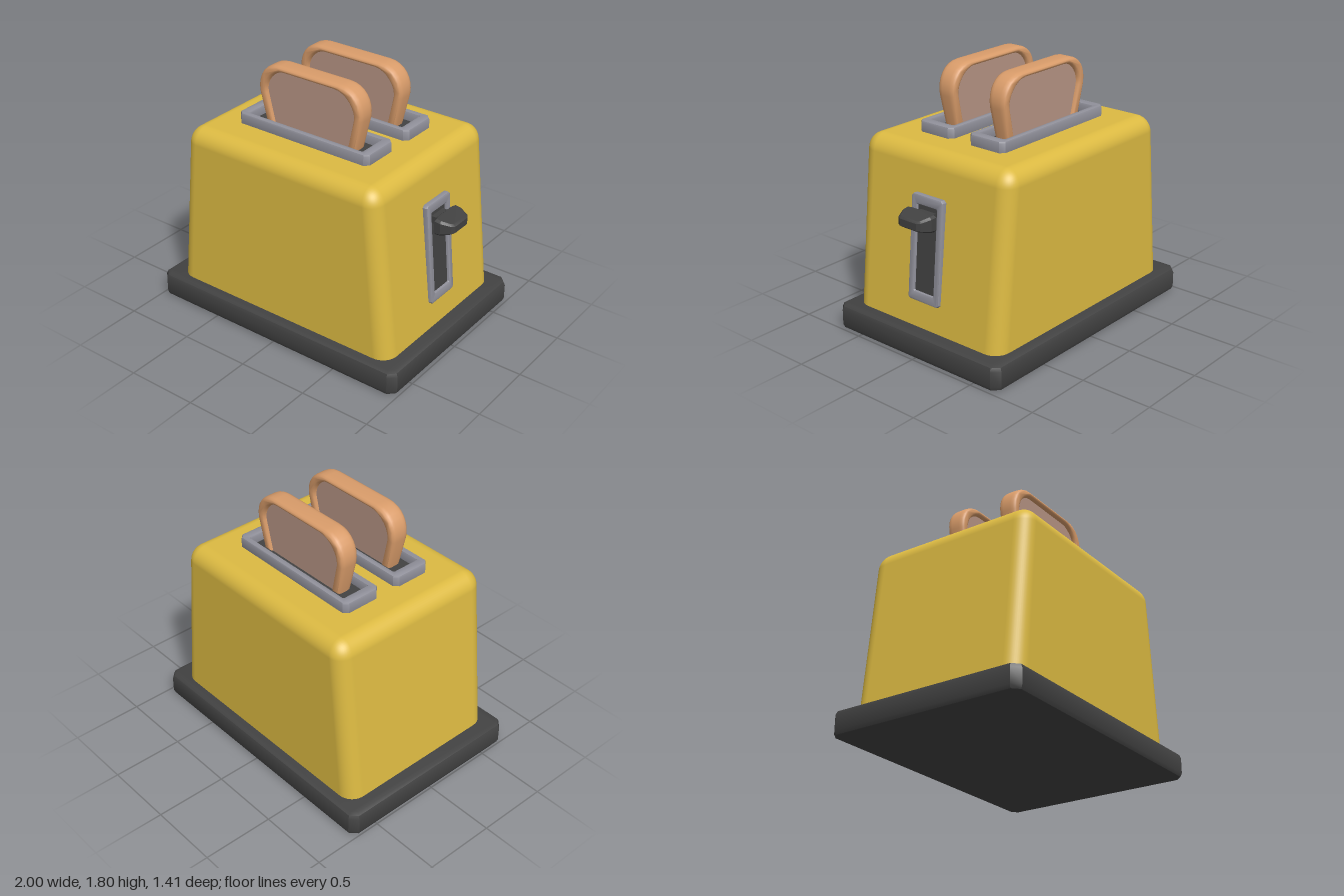
import * as THREE from 'three';
import { toCreasedNormals } from 'three/addons/utils/BufferGeometryUtils.js';
import { RoundedBoxGeometry } from 'three/addons/geometries/RoundedBoxGeometry.js';

const SLOPE = 0.107; // inward lean of the two end walls

const paint = (name, color) => {
  const m = new THREE.MeshStandardMaterial({ color });
  m.name = name;
  return m;
};

function add(parent, name, geometry, material) {
  const mesh = new THREE.Mesh(geometry, material);
  mesh.name = name;
  parent.add(mesh);
  return mesh;
}

// Rectangle outline with cut corners
function rectPoints(w, h, c) {
  const x = w / 2, y = h / 2;
  return [[x - c, -y], [x, -y + c], [x, y - c], [x - c, y], [-x + c, y], [-x, y - c], [-x, -y + c], [-x + c, -y]]
    .map(([a, b]) => new THREE.Vector2(a, b));
}

// Bevelled slab whose outer size matches the shape, centred on z
function slab(shape, depth, bevel, bevelThickness = bevel, bevelSegments = 2) {
  const g = new THREE.ExtrudeGeometry(shape, {
    depth: depth - 2 * bevelThickness, bevelSize: bevel, bevelThickness,
    bevelOffset: -bevel, bevelSegments, curveSegments: 8,
  });
  return g.translate(0, 0, bevelThickness - depth / 2);
}

// Slab with a rectangular opening
function frame(w, h, c, holeW, holeH, depth, bevel) {
  const shape = new THREE.Shape(rectPoints(w, h, c));
  shape.holes.push(new THREE.Path(rectPoints(holeW, holeH, 0.005).reverse()));
  return toCreasedNormals(slab(shape, depth, bevel), 0.6);
}

// Right half to left half outline of a slice, inset at the sides and top
function sliceOutline(side, top) {
  const p = new THREE.Path();
  p.moveTo(0.36 - side, 1.37);
  p.lineTo(0.41 - side, 1.59);
  p.bezierCurveTo(0.425 - side, 1.7 - top, 0.36 - side, 1.8 - top, 0.235 - side * 0.5, 1.8 - top);
  p.lineTo(-0.235 + side * 0.5, 1.8 - top);
  p.bezierCurveTo(-0.36 + side, 1.8 - top, -0.425 + side, 1.7 - top, -0.41 + side, 1.59);
  p.lineTo(-0.36 + side, 1.37);
  return p.getPoints(8);
}

// Slices get a little thicker towards the top
function thickenUpward(g) {
  const p = g.attributes.position;
  for (let i = 0; i < p.count; i++) p.setZ(i, p.getZ(i) * (0.8 + 0.2 * (p.getY(i) - 1.37) / 0.43));
  return g;
}

function bodyGeometry() {
  const half = 0.885, bottom = 0.05, top = 1.355;
  const g = new RoundedBoxGeometry(half * 2, top - bottom, 1.255, 5, 0.11);
  g.translate(0, (top + bottom) / 2, 0);
  const p = g.attributes.position, n = g.attributes.normal, v = new THREE.Vector3();
  for (let i = 0; i < p.count; i++) {
    const s = p.getX(i) / half;
    p.setX(i, s * (half - SLOPE * (p.getY(i) - 0.175)));
    v.fromBufferAttribute(n, i);
    v.y += SLOPE * s * v.x;
    v.normalize();
    n.setXYZ(i, v.x, v.y, v.z);
  }
  return g;
}

function knobGeometry() {
  const outline = [[0.86, -0.085], [0.875, -0.125], [0.92, -0.125], [0.985, -0.095], [1, -0.07]];
  const pts = [...outline, ...outline.map(([x, z]) => [x, -z]).reverse()].map(([x, z]) => new THREE.Vector2(x, z));
  const g = slab(new THREE.Shape(pts), 0.115, 0.015, 0.015, 1).rotateX(Math.PI / 2);
  const p = g.attributes.position;
  for (let i = 0; i < p.count; i++) {
    const t = THREE.MathUtils.clamp((p.getX(i) - 0.9) / 0.1, 0, 1);
    p.setY(i, p.getY(i) * (1 - 0.45 * t) + 0.942);
  }
  return toCreasedNormals(g, 0.3);
}

export function createModel() {
  const yellow = paint('yellow enamel', 0xdcba42);
  const dark = paint('dark plastic', 0x424242);
  const grey = paint('grey metal', 0x90909a);
  const crustBrown = paint('crust brown', 0xd99c6a);
  const crumb = paint('toasted crumb', 0xb69484);

  const model = new THREE.Group();
  model.name = 'toaster';

  // Base and body
  const base = slab(new THREE.Shape(rectPoints(1.99, 1.415, 0.05)), 0.175, 0.035).rotateX(-Math.PI / 2);
  add(model, 'base', toCreasedNormals(base, 0.6), dark).position.set(-0.005, 0.0875, 0);
  add(model, 'body', bodyGeometry(), yellow);

  // Slots with their collars and slices
  const collarGeo = frame(1.05, 0.29, 0.03, 0.91, 0.2, 0.1, 0.015).rotateX(-Math.PI / 2);
  const floorGeo = new THREE.BoxGeometry(0.96, 0.008, 0.24);
  const crustShape = new THREE.Shape([...sliceOutline(0, 0), ...sliceOutline(0.066, 0.042).reverse()]);
  const crustGeo = toCreasedNormals(thickenUpward(slab(crustShape, 0.145, 0.02, 0.04, 3)), 0.7);
  const crumbShape = new THREE.Shape(sliceOutline(0.05, 0.03));
  const crumbGeo = thickenUpward(new THREE.ExtrudeGeometry(crumbShape, { depth: 0.09, bevelEnabled: false })
    .translate(0, 0, -0.045));
  for (const [side, label] of [[1, 'front'], [-1, 'back']]) {
    const slot = new THREE.Group();
    slot.name = label + 'Slot';
    slot.position.z = side * 0.215;
    add(slot, 'slotCollar', collarGeo, grey).position.set(-0.005, 1.38, 0);
    add(slot, 'slotFloor', floorGeo, dark).position.set(-0.005, 1.362, 0);
    add(slot, 'crust', crustGeo, crustBrown);
    add(slot, 'breadFace', crumbGeo, crumb);
    model.add(slot);
  }

  // Lever track, leaning with the end wall
  const track = new THREE.Group();
  track.name = 'leverTrack';
  track.position.set(0.828, 0.715, 0);
  track.rotation.z = 0.09;
  add(track, 'trackFrame', frame(0.265, 0.715, 0.015, 0.17, 0.585, 0.06, 0.01).rotateY(Math.PI / 2), grey);
  add(track, 'trackGroove', new THREE.BoxGeometry(0.008, 0.62, 0.2), dark).position.x = 0.008;
  model.add(track);

  // Lever
  add(model, 'leverStem', new THREE.BoxGeometry(0.07, 0.05, 0.13), dark).position.set(0.845, 0.95, 0);
  add(model, 'leverKnob', knobGeometry(), dark);
  return model;
}
